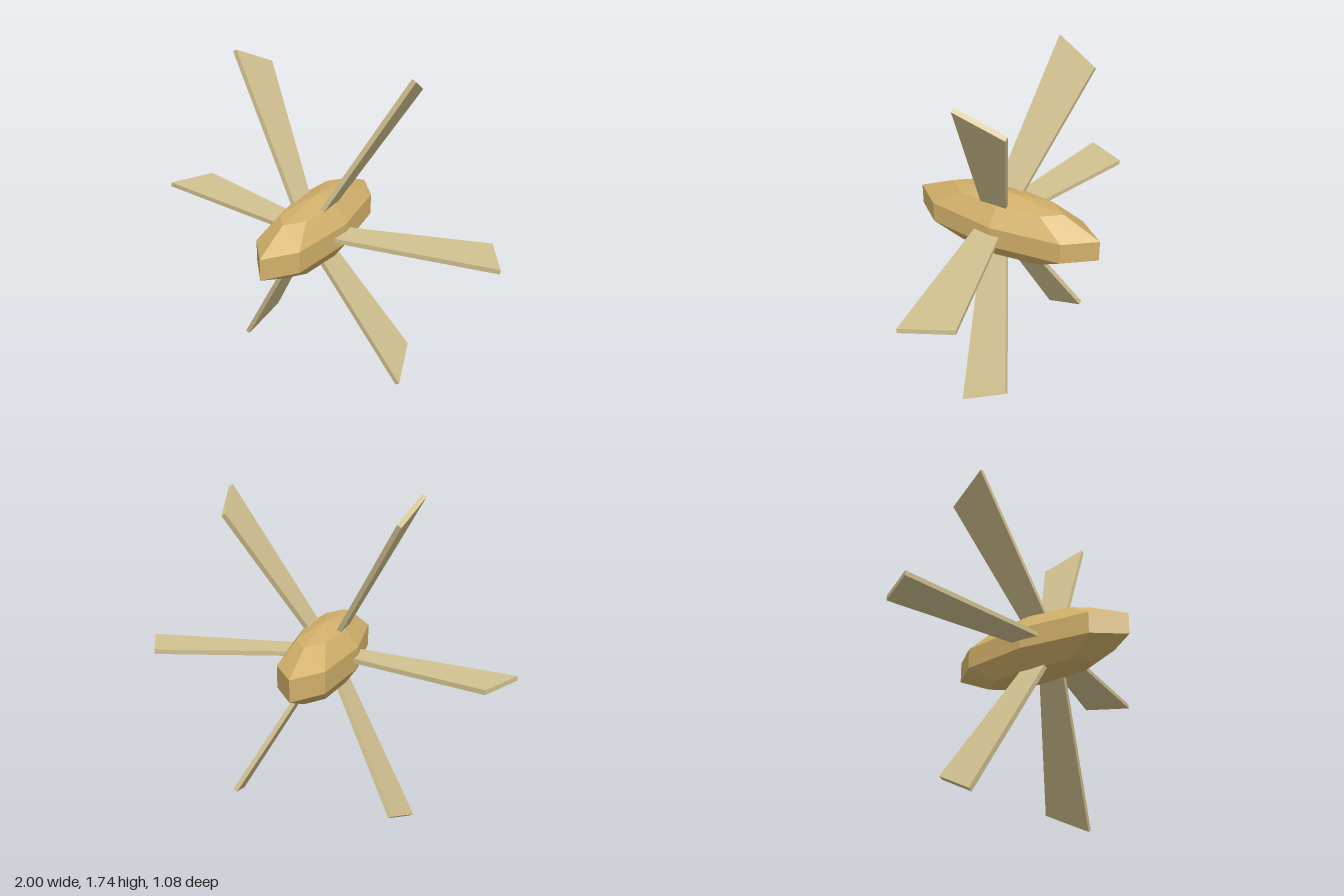
import * as THREE from 'three';

const CENTER_Y = 0.875;
const BLADES = 6;
const THICKNESS = 0.025;

export function createModel() {
  const model = new THREE.Group();
  const hubMaterial = new THREE.MeshStandardMaterial({ color: 0xd2b06a, flatShading: true });
  hubMaterial.name = 'golden tan';
  const bladeMaterial = new THREE.MeshStandardMaterial({ color: 0xd2c290, flatShading: true });
  bladeMaterial.name = 'pale straw';

  // Faceted body, stretched front to back
  const hubGeometry = new THREE.SphereGeometry(1, 8, 5);
  hubGeometry.scale(0.185, 0.185, 0.567);
  const hub = new THREE.Mesh(hubGeometry, hubMaterial);
  hub.name = 'body';
  hub.position.y = CENTER_Y;
  model.add(hub);

  // Swept-back blade outline: distance from the axis, then distance backwards
  const outline = new THREE.Shape([
    [0.15, -0.102],
    [0.998, 0.025],
    [0.875, 0.258],
    [0.15, 0.046],
  ].map(([r, back]) => new THREE.Vector2(r, back)));
  const bladeGeometry = new THREE.ExtrudeGeometry(outline, { depth: THICKNESS, bevelEnabled: false });
  bladeGeometry.translate(0, 0, -THICKNESS / 2);
  bladeGeometry.rotateX(-Math.PI / 2);

  // Blades spaced evenly around the body
  for (let i = 0; i < BLADES; i++) {
    const blade = new THREE.Mesh(bladeGeometry, bladeMaterial);
    blade.name = `blade${i + 1}`;
    blade.position.y = CENTER_Y;
    blade.rotation.z = (i / BLADES) * Math.PI * 2;
    model.add(blade);
  }
  return model;
}
